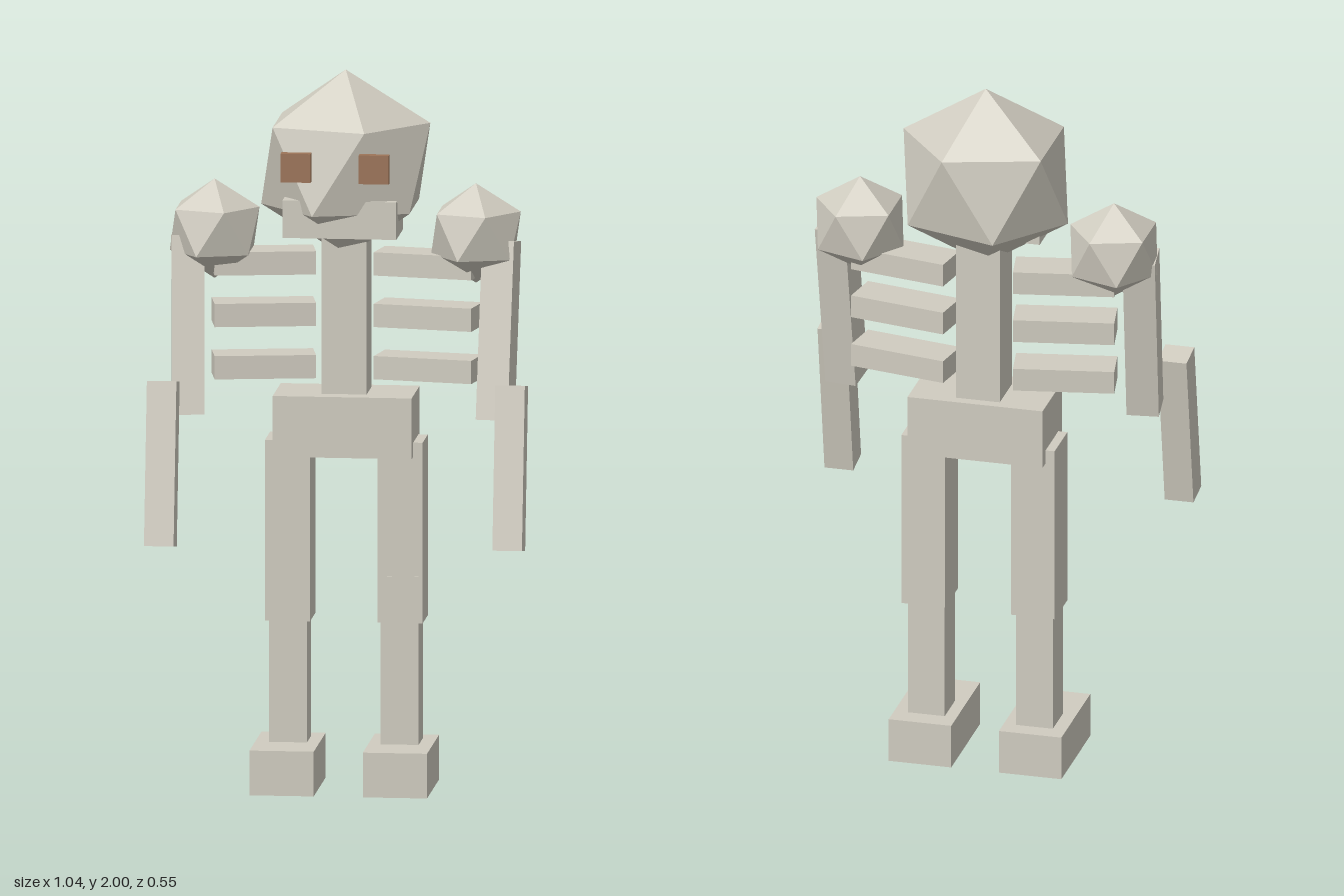
import * as THREE from 'three';

export function createModel() {
  const model = new THREE.Group();
  model.name = 'skeleton';

  const bone = new THREE.MeshStandardMaterial({ color: 0xd0ccc0 });
  bone.name = 'bone';
  const eyeBrown = new THREE.MeshStandardMaterial({ color: 0x9c7458 });
  eyeBrown.name = 'eye brown';

  function add(name, geometry, position, rotation = [0, 0, 0], material = bone) {
    const mesh = new THREE.Mesh(geometry, material);
    mesh.name = name;
    mesh.position.set(...position);
    mesh.rotation.set(...rotation, 'YXZ');
    model.add(mesh);
    return mesh;
  }
  const box = (name, size, position, rotation, material) =>
    add(name, new THREE.BoxGeometry(...size), position, rotation, material);

  // Icosahedron standing on a vertex, one upper corner towards +x
  function knob(name, radius, position) {
    const g = new THREE.IcosahedronGeometry(radius, 0);
    g.rotateX(-Math.atan((1 + Math.sqrt(5)) / 2));
    g.rotateY(Math.PI / 2);
    return add(name, g, position);
  }

  // Head, jaw and eyes
  knob('skull', 0.262, [0, 1.738, -0.075]).scale.z = 0.9;
  box('jaw', [0.315, 0.105, 0.18], [0, 1.607, 0]);
  box('rightEye', [0.083, 0.08, 0.026], [-0.115, 1.76, 0.136], [0, 0, 0], eyeBrown);
  box('leftEye', [0.083, 0.08, 0.026], [0.102, 1.76, 0.142], [0, 0, 0], eyeBrown);

  // Torso
  box('spine', [0.125, 0.5, 0.13], [0, 1.33, -0.095]);
  box('pelvis', [0.385, 0.17, 0.21], [0, 1.015, -0.085]);

  for (const s of [-1, 1]) {
    const side = s > 0 ? 'left' : 'right';

    // Ribs, outer ends swung forward
    for (const y of [1.172, 1.318, 1.462]) {
      box(side + 'Rib', [0.28, 0.065, 0.11], [s * 0.2275, y, -0.08], [0, -s * 0.18, 0]);
    }

    // Arms
    knob(side + 'Shoulder', 0.139, [s * 0.362, 1.552, -0.062]);
    box(side + 'UpperArm', [0.09, 0.495, 0.09], [s * 0.43, 1.29, -0.008], [-0.16, -s * 0.12, 0]);
    box(side + 'Forearm', [0.082, 0.455, 0.085], [s * 0.481, 0.935, s > 0 ? 0.163 : 0.192], [-0.165, 0, 0]);

    // Legs
    box(side + 'Thigh', [0.125, 0.505, 0.137], [s * 0.156, 0.717, -0.09]);
    box(side + 'Shin', [0.105, 0.49, 0.11], [s * 0.155, 0.35, s > 0 ? -0.075 : -0.082]);
    box(side + 'Foot', [0.178, 0.125, 0.31], [s * 0.157, 0.0625, -0.035]);
  }

  return model;
}
